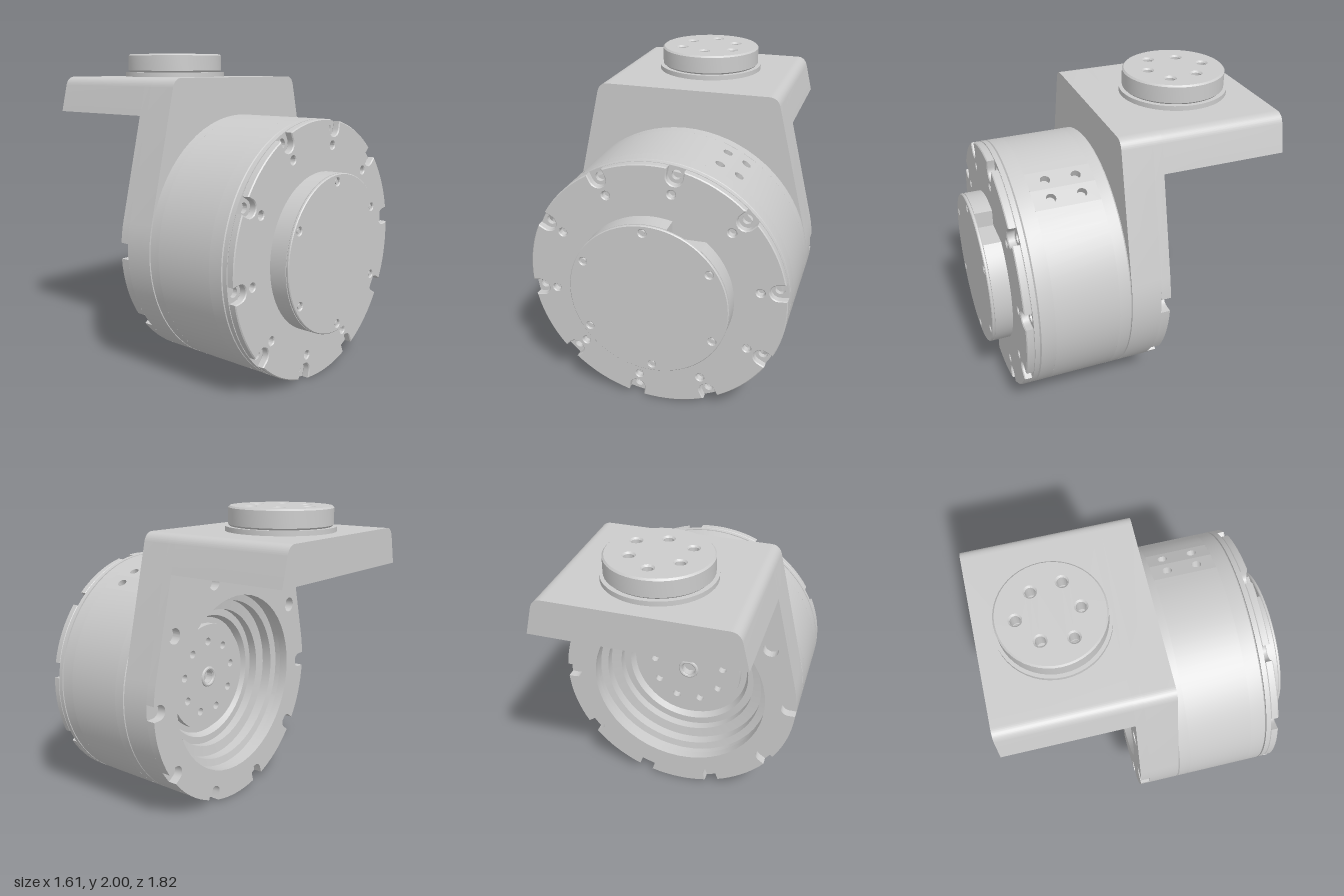
import * as THREE from 'three';
import { toCreasedNormals } from 'three/addons/utils/BufferGeometryUtils.js';

const DEG = Math.PI / 180;
const CY = 0.805, R = 0.805;      // drum axis height and radius
const BOSS_Z = -0.46;             // output boss axis
const grey = new THREE.MeshStandardMaterial({ color: 0xcccccc });
const greyDouble = new THREE.MeshStandardMaterial({ color: 0xcccccc, side: THREE.DoubleSide });

const polar = (r, deg, cy = 0) => new THREE.Vector2(r * Math.cos(deg * DEG), cy + r * Math.sin(deg * DEG));
const ring = (n, r, start) => Array.from({ length: n }, (_, k) => polar(r, start + (k * 360) / n));

function addHoles(shape, centres, r) {
  for (const c of centres) shape.holes.push(new THREE.Path().absarc(c.x, c.y, r, 0, Math.PI * 2, true));
  return shape;
}

const disc = (r) => new THREE.Shape().absarc(0, 0, r, 0, Math.PI * 2, false);

function extrude(shape, z0, z1, bevel = 0, curveSegments = 24) {
  const geo = new THREE.ExtrudeGeometry(shape, {
    depth: z1 - z0 - 2 * bevel, curveSegments, bevelEnabled: bevel > 0,
    bevelThickness: bevel, bevelSize: bevel, bevelOffset: -bevel, bevelSegments: 1,
  });
  return geo.translate(0, 0, z0 + bevel);
}

// Revolve [radius, z] points about the z axis; descending z faces outward
function lathe(points, phiStart = 0, phiLength = 360) {
  const pts = points.map(([r, z]) => new THREE.Vector2(r, -z));
  return new THREE.LatheGeometry(pts, 72, phiStart * DEG, phiLength * DEG).rotateX(-Math.PI / 2);
}

// Counter-clockwise rim from a0 to a1 degrees, with U-shaped bolt notches
function rimPoints(a0, a1, notches) {
  const pts = [], nr = 0.05, d = Math.asin(nr / R) / DEG;
  const arc = (from, to) => {
    const n = Math.max(1, Math.ceil((to - from) / 4));
    for (let i = 0; i <= n; i++) pts.push(polar(R, from + ((to - from) * i) / n));
  };
  let from = a0;
  for (const t of notches) {
    arc(from, t - d);
    const c = polar(0.755, t);
    for (let i = 0; i <= 8; i++) pts.push(polar(nr, t - 90 - i * 22.5).add(c));
    from = t + d;
  }
  arc(from, a1);
  return pts;
}

// Half width of the tapering bracket at height y above the drum axis
const TANGENT = 13.5;
const halfWidth = (y) => 0.783 - 0.24 * (y - 0.188);
const TOP = 1.85 - CY, ARM_LOW = 1.62 - CY, ROUND = 1.79 - CY;

function bracketShape(notches) {
  const shape = new THREE.Shape(rimPoints(180 - TANGENT, 360 + TANGENT, notches));
  shape.lineTo(halfWidth(ROUND), ROUND);
  shape.quadraticCurveTo(halfWidth(TOP), TOP, 0.52, TOP);
  shape.lineTo(-0.52, TOP);
  shape.quadraticCurveTo(-halfWidth(TOP), TOP, -halfWidth(ROUND), ROUND);
  return addHoles(shape, [new THREE.Vector2(0, 0)], 0.6);
}

export function createModel() {
  const model = new THREE.Group();
  const drumAssembly = new THREE.Group();
  drumAssembly.name = 'drumAssembly';
  drumAssembly.position.y = CY;
  model.add(drumAssembly);

  function add(name, geo, parent = drumAssembly, material = grey) {
    const mesh = new THREE.Mesh(toCreasedNormals(geo, 0.5), material);
    mesh.name = name;
    parent.add(mesh);
    return mesh;
  }

  // Bracket plate: plain front layer, rear layer with bolt recesses
  add('bracketPlate', extrude(bracketShape([]), -0.07, 0.12));
  const rear = bracketShape([180, 216, 252, 288, 324, 360]);
  addHoles(rear, [36, 72, 108, 144].map((a) => polar(0.755, a)), 0.05);
  add('bracketRearLayer', extrude(rear, -0.13, -0.07));

  // Stepped cavity seen from behind
  add('rearCavity', lathe([
    [0.6, -0.13], [0.6, -0.03], [0.55, -0.02], [0.55, 0.05], [0.48, 0.06],
    [0.48, 0.12], [0.43, 0.12], [0.41, 0.17], [0, 0.17],
  ]), drumAssembly, greyDouble);
  const hub = addHoles(disc(0.37), ring(9, 0.25, 90), 0.027);
  addHoles(hub, [new THREE.Vector2(0, 0)], 0.045);
  add('rearHub', extrude(hub, 0.12, 0.17));
  add('hubCollar', new THREE.TorusGeometry(0.06, 0.012, 8, 24).translate(0, 0, 0.12));

  // Drum wall, leaving a gap for the panels with side holes
  add('drumRearBand', lathe([[R, 0.2], [R, 0.13], [0.795, 0.12]]), drumAssembly, greyDouble);
  add('drumFrontBand', lathe([[0.79, 0.7], [R, 0.69], [R, 0.6]]), drumAssembly, greyDouble);
  add('drumWall', lathe([[R, 0.6], [R, 0.2]], 37.35, 341.4), drumAssembly, greyDouble);
  add('drumCore', lathe([[0, 0.7], [0.757, 0.7], [0.757, 0.13]]), drumAssembly, greyDouble);

  const half = 4.65 * DEG, w = R * Math.sin(half), apothem = R * Math.cos(half);
  for (const angle of [23.4, 32.7]) {
    const panel = new THREE.Shape([[-w, -0.6], [w, -0.6], [w, -0.2], [-w, -0.2]]
      .map(([x, y]) => new THREE.Vector2(x, y)));
    addHoles(panel, [new THREE.Vector2(0, -0.3), new THREE.Vector2(0, -0.49)], 0.03);
    add('sideHolePanel', extrude(panel, apothem - 0.05, apothem)
      .rotateX(-Math.PI / 2).rotateZ(-angle * DEG));
  }

  // Front ring with ten notched bolt seats
  const seat = addHoles(disc(R), ring(10, 0.755, 8), 0.03);
  add('boltSeatRing', extrude(seat, 0.7, 0.73, 0, 45));
  const notches = Array.from({ length: 10 }, (_, k) => 8 + 36 * k);
  const front = new THREE.Shape(rimPoints(-10, 350, notches).slice(0, -1));
  addHoles(front, ring(10, 0.65, 8), 0.024);
  add('frontRing', extrude(front, 0.73, 0.78, 0.006));

  // Front cover with a connector slot cut in its edge
  const slotA = Math.asin(0.371 / 0.49), slotB = Math.acos(0.12 / 0.49);
  const body = new THREE.Shape().absarc(0, 0, 0.49, slotB, slotA + Math.PI * 2, false);
  body.lineTo(0.12, 0.371);
  add('coverBody', extrude(body, 0.78, 0.89, 0, 36));
  const lid = addHoles(disc(0.49), ring(6, 0.443, 92.5), 0.023);
  add('coverLid', extrude(lid, 0.89, 0.91, 0.005, 36));
  for (const c of ring(6, 0.443, 92.5)) {
    add('coverScrew', new THREE.CylinderGeometry(0.013, 0.013, 0.014, 12)
      .rotateX(Math.PI / 2).translate(c.x, c.y, 0.897));
  }

  // Arm: tapered sides with rounded upper edges, and a drilled middle slab
  const side = new THREE.Shape();
  side.moveTo(0.42, ARM_LOW);
  side.lineTo(halfWidth(ARM_LOW), ARM_LOW);
  side.lineTo(halfWidth(ROUND), ROUND);
  side.quadraticCurveTo(halfWidth(TOP), TOP, 0.52, TOP);
  side.lineTo(0.42, TOP);
  const sideGeo = extrude(side, -0.91, -0.13);
  add('armSide', sideGeo);
  add('armSide', sideGeo.clone().translate(0, 0, 0.52).rotateY(Math.PI).translate(0, 0, -0.52));

  const throughHoles = ring(3, 0.197, 90), screwHoles = ring(3, 0.172, 30);
  const arm = new THREE.Group();
  arm.name = 'armAndBoss';
  arm.position.z = BOSS_Z;
  model.add(arm);
  const upright = (shape, y0, y1, bevel) => extrude(shape, y0, y1, bevel).rotateX(-Math.PI / 2);
  const slab = new THREE.Shape([[-0.42, -0.33], [0.42, -0.33], [0.42, 0.45], [-0.42, 0.45]]
    .map(([x, y]) => new THREE.Vector2(x, y)));
  addHoles(addHoles(slab, throughHoles, 0.03), screwHoles, 0.012);
  add('armSlab', upright(slab, 1.62, 1.85), arm);

  // Output boss on a thin flange
  const flange = addHoles(addHoles(disc(0.34), throughHoles, 0.03), screwHoles, 0.018);
  add('bossFlange', upright(flange, 1.85, 1.88), arm);
  const boss = addHoles(addHoles(disc(0.32), throughHoles, 0.03), screwHoles, 0.03);
  add('boss', upright(boss, 1.88, 2.0, 0.01), arm);

  return model;
}
